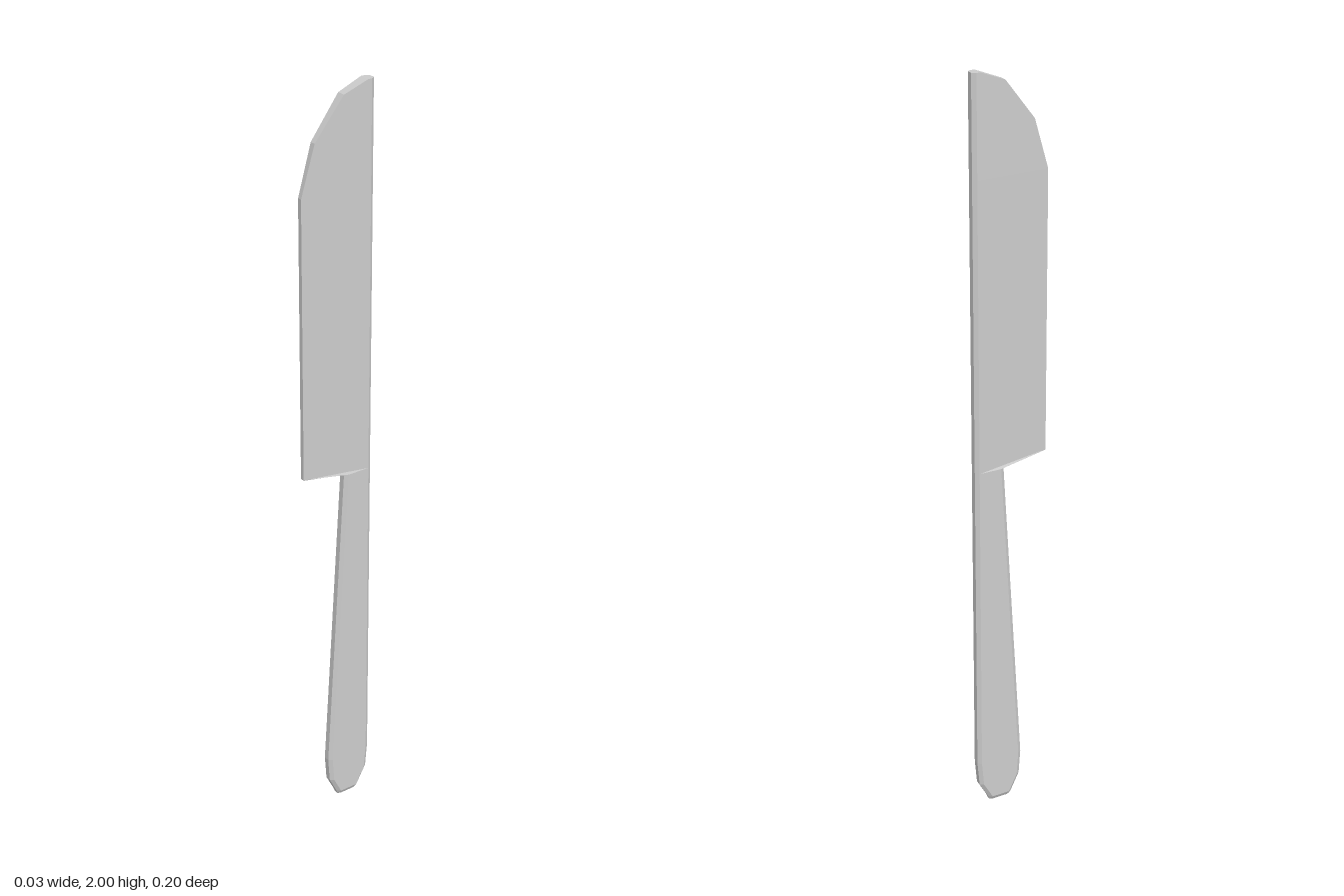
import * as THREE from 'three';

const BEVEL = 0.01, HALF = 0.015;

// Half thickness of the blade, tapering from spine to edge
const bladeHalf = z => HALF - 0.009 * (z + 0.09) / 0.19;

// Eight-cornered cross-section, ordered back (+x) -> front -> back (-x)
function ring(yBack, yFront, zBack, zFront, halfAt, frontHalf, scale = 1) {
  const side = [
    [0.008, yBack, zBack],
    [halfAt(zBack + BEVEL), yBack, zBack + BEVEL],
    [halfAt(zFront - BEVEL), yFront, zFront - BEVEL],
    [frontHalf ?? halfAt(zFront), yFront, zFront],
  ].map(([x, y, z]) => [x * scale, y, z]);
  return [...side, ...side.slice().reverse().map(([x, y, z]) => [-x, y, z])];
}

// Skin a stack of rings, closing the bottom or the top
function loft(name, rings, capBottom, capTop) {
  const n = rings[0].length, index = [];
  for (let i = 0; i < rings.length - 1; i++) {
    for (let j = 0; j < n; j++) {
      const a = i * n + j, b = i * n + (j + 1) % n;
      index.push(a, a + n, b, b, a + n, b + n);
    }
  }
  const top = (rings.length - 1) * n;
  for (let k = 1; k < n - 1; k++) {
    if (capBottom) index.push(0, k, k + 1);
    if (capTop) index.push(top, top + k + 1, top + k);
  }
  const geometry = new THREE.BufferGeometry();
  geometry.setAttribute('position', new THREE.Float32BufferAttribute(rings.flat(2), 3));
  geometry.setIndex(index);
  const flat = geometry.toNonIndexed();
  flat.computeVertexNormals();
  const mesh = new THREE.Mesh(flat, new THREE.MeshStandardMaterial({ color: 0xcccccc, flatShading: true }));
  mesh.name = name;
  return mesh;
}

export function createModel() {
  const group = new THREE.Group();
  group.name = 'knife';

  // Handle: height, back z, front z, thickness scale
  const handle = [
    [0, -0.064, -0.002, 0.6],
    [0.012, -0.068, 0.002, 1],
    [0.06, -0.094, 0.025, 1],
    [0.13, -0.1, 0.03, 1],
    [1, -0.1, -0.02, 1],
  ].map(([y, zb, zf, s]) => ring(y, y, zb, zf, () => HALF, 0.008, s));
  group.add(loft('handle', handle, true, false));

  // Blade: heel steps forward from the handle, then the edge curves to the tip
  const blade = [
    [1, 1.02, 0.1],
    [1.75, 1.75, 0.1],
    [1.875, 1.875, 0.063],
    [1.975, 1.975, -0.015],
    [2, 2, -0.08],
  ].map(([yb, yf, zf]) => ring(yb, yf, -0.1, zf, bladeHalf));
  group.add(loft('blade', [handle.at(-1), ...blade], false, true));

  return group;
}
